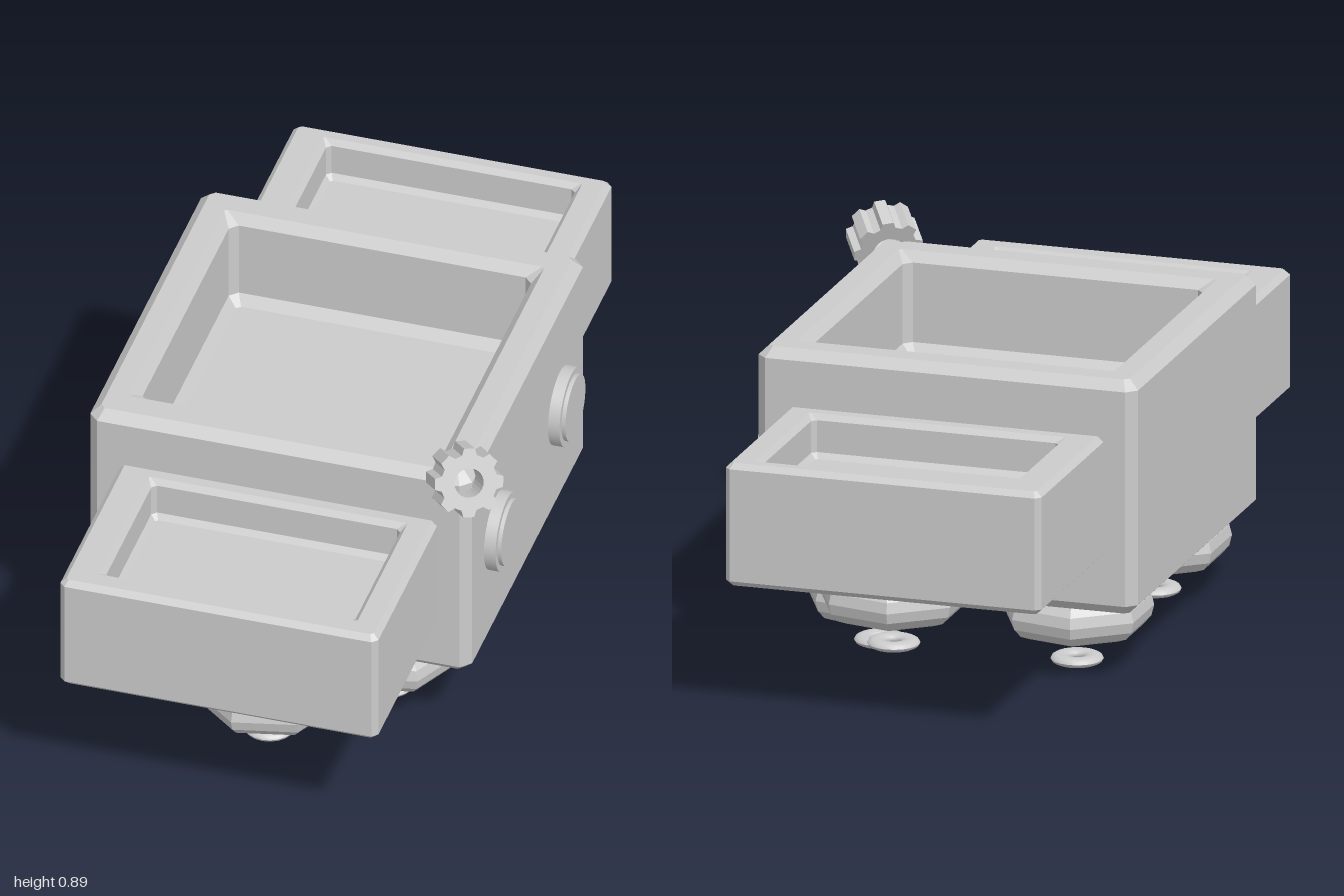
import * as THREE from 'three';

const material = new THREE.MeshStandardMaterial({ color: 0xcccccc, flatShading: true });
const smooth = new THREE.MeshStandardMaterial({ color: 0xcccccc });

function mesh(name, geometry, mat = material) {
  const m = new THREE.Mesh(geometry, mat);
  m.name = name;
  return m;
}

// Rectangle with cut corners at height y, running counter-clockwise seen from above
function ring([x0, x1, z0, z1], y, inset, cut) {
  const a = x0 + inset, b = x1 - inset, c = z0 + inset, d = z1 - inset;
  return [
    [a + cut, d], [b - cut, d], [b, d - cut], [b, c + cut],
    [b - cut, c], [a + cut, c], [a, c + cut], [a, d - cut],
  ].map(([x, z]) => [x, y, z]);
}

// Open bin: outer shell, rim and recess as one skin joined through a series of rings
function bin(name, outer, opening, bottom, top, floor, bevel) {
  const rings = [
    ring(outer, bottom, bevel, bevel / 2),
    ring(outer, bottom + bevel, 0, bevel),
    ring(outer, top - bevel, 0, bevel),
    ring(outer, top, bevel, bevel / 2),
    ring(opening, top, 0, bevel / 4),
    ring(opening, top - bevel, bevel * 0.9, bevel * 0.8),
    ring(opening, floor + bevel, bevel * 0.9, bevel * 0.8),
    ring(opening, floor, bevel * 1.8, bevel * 0.4),
  ];
  const n = 8, index = [];
  for (let r = 0; r < rings.length - 1; r++) {
    for (let i = 0; i < n; i++) {
      const a = r * n + i, b = r * n + (i + 1) % n;
      index.push(a, b, b + n, a, b + n, a + n);
    }
  }
  const last = (rings.length - 1) * n;
  for (let i = 1; i < n - 1; i++) {
    index.push(0, i + 1, i);                      // underside
    index.push(last, last + i, last + i + 1);     // recess floor
  }
  const g = new THREE.BufferGeometry();
  g.setAttribute('position', new THREE.Float32BufferAttribute(rings.flat(2), 3));
  g.setIndex(index);
  const flat = g.toNonIndexed();
  flat.computeVertexNormals();
  return mesh(name, flat);
}

// Seven-sided foot: rounded rim, flat underside and a funnel running up into its centre
function foot(name, x, y, z) {
  const group = new THREE.Group();
  group.name = name;
  const profile = [[0.018, 0.15], [0.026, 0.12], [0.045, 0.098], [0.075, 0.086]];
  for (let i = 0; i <= 6; i++) {
    const a = (i - 3) * Math.PI / 6.6;
    profile.push([0.131 + Math.cos(a) * 0.061, 0.142 + Math.sin(a) * 0.059]);
  }
  profile.push([0, 0.2]);
  const pad = mesh('footPad', new THREE.LatheGeometry(profile.map(([r, h]) => new THREE.Vector2(r, h)), 7, Math.PI / 2));

  // Thin glide with a small centre hole, just below the rim
  const section = [];
  for (let i = 0; i <= 12; i++) {
    const a = i * Math.PI / 6;
    section.push(new THREE.Vector2(0.042 + Math.cos(a) * 0.024, Math.sin(a) * 0.0125));
  }
  const glide = mesh('footGlide', new THREE.LatheGeometry(section, 20), smooth);
  glide.position.y = 0.0125;
  group.add(pad, glide);
  group.position.set(x, y, z);
  return group;
}

// Stepped round button on the left wall
function button(z) {
  const group = new THREE.Group();
  group.name = 'sideButton';
  for (const [r, depth] of [[0.101, 0.034], [0.085, 0.044]]) {
    const disc = mesh('buttonDisc', new THREE.CylinderGeometry(r, r, depth, 40).rotateZ(-Math.PI / 2), smooth);
    disc.position.x = depth / 2;
    group.add(disc);
  }
  group.position.set(0.446, 0.49, z);
  return group;
}

// Toothed knob with a bored centre, tilted over the front corner
function gearKnob() {
  const shape = new THREE.Shape();
  const teeth = 8, step = Math.PI * 2 / teeth;
  for (let i = 0; i < teeth; i++) {
    for (const [t, r] of [[-0.2, 0.088], [0.2, 0.088], [0.34, 0.072], [0.66, 0.072]]) {
      const a = (i + t) * step;
      const p = [Math.cos(a) * r, Math.sin(a) * r];
      if (i === 0 && t === -0.2) shape.moveTo(...p);
      else shape.lineTo(...p);
    }
  }
  shape.closePath();
  shape.holes.push(new THREE.Path().absarc(0, 0, 0.037, 0, Math.PI * 2, true));
  const g = new THREE.ExtrudeGeometry(shape, { depth: 0.09, bevelEnabled: false, curveSegments: 12 });
  g.translate(0, 0, -0.045);
  const knob = mesh('gearKnob', g);
  const axis = new THREE.Vector3(0.5, 0.39, 0.78).normalize();
  knob.quaternion.setFromUnitVectors(new THREE.Vector3(0, 0, 1), axis);
  knob.position.set(0.436, 0.795, 0.483);
  return knob;
}

export function createModel() {
  const model = new THREE.Group();
  model.name = 'binUnit';

  // Deep central bin with a shallower tray at each end
  model.add(bin('mainBin', [-0.535, 0.45, -0.497, 0.49], [-0.455, 0.37, -0.412, 0.4], 0.196, 0.8, 0.545, 0.025));
  model.add(bin('frontTray', [-0.453, 0.367, 0.445, 1], [-0.367, 0.3, 0.518, 0.943], 0.338, 0.655, 0.545, 0.014));
  model.add(bin('backTray', [-0.453, 0.367, -1, -0.45], [-0.367, 0.3, -0.96, -0.528], 0.338, 0.655, 0.545, 0.014));

  // Four feet under the bin, one under each tray
  for (const x of [-0.318, 0.192]) {
    for (const z of [0.325, -0.292]) model.add(foot('binFoot', x, 0, z));
  }
  for (const z of [0.758, -0.723]) model.add(foot('trayFoot', 0.017, 0.134, z));

  for (const z of [0.265, -0.277]) model.add(button(z));
  model.add(gearKnob());
  return model;
}
